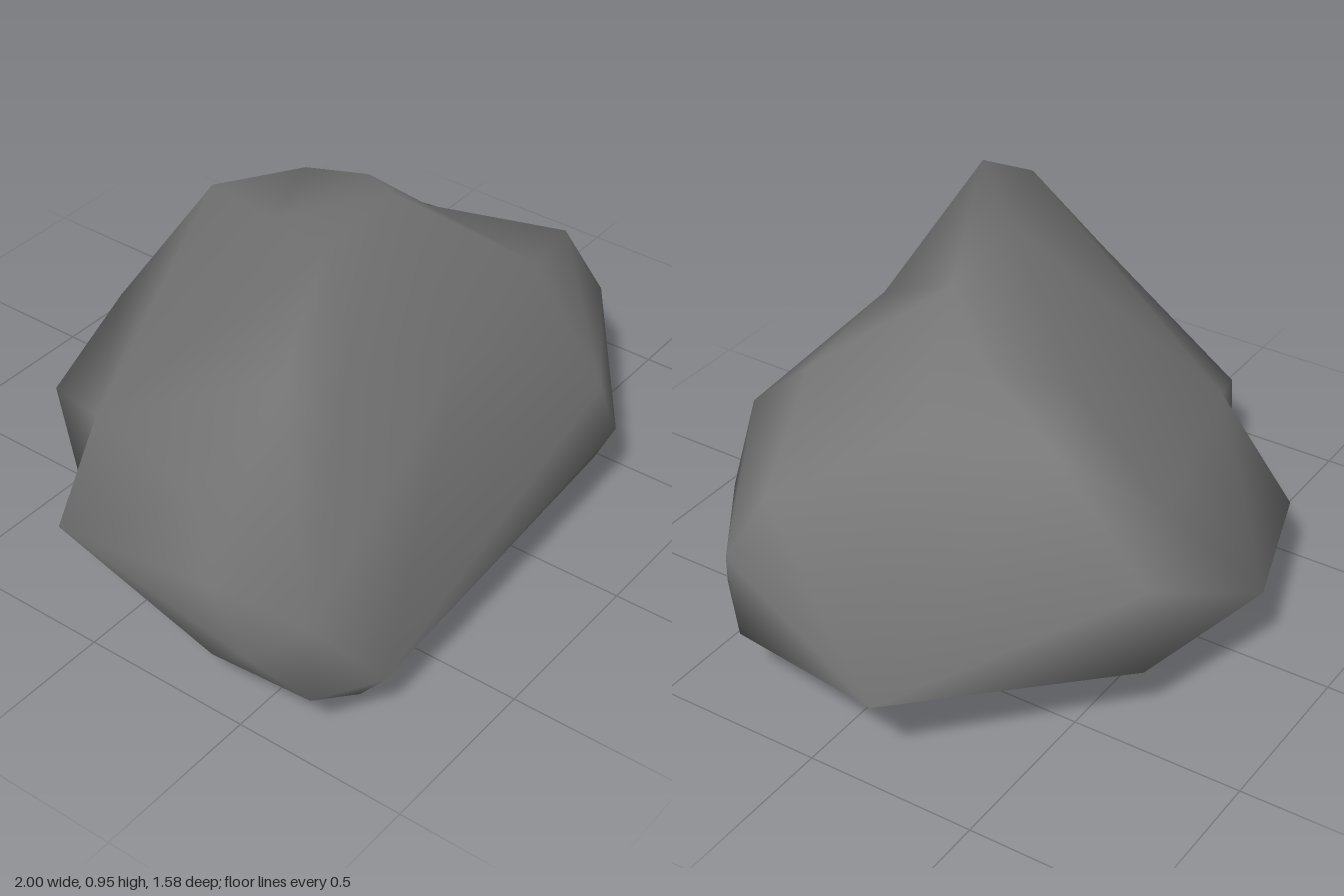
import * as THREE from 'three';
import { ConvexGeometry } from 'three/addons/geometries/ConvexGeometry.js';
import { mergeVertices } from 'three/addons/utils/BufferGeometryUtils.js';

// Corners of the boulder
const corners = [
  // crown and the ridge running down its back
  [-0.28, 0.955, 0.22], [0.08, 0.93, 0.17], [-0.62, 0.92, 0.54], [-0.71, 0.88, 0.42],
  [0.33, 0.8, 0], [0.243, 0.838, -0.03], [0.34, 0.705, -0.33], [0.255, 0.578, -0.62],
  // shoulders
  [0.33, 0.7, 0.48], [0.73, 0.545, 0.33], [0.25, 0.45, 0.758], [-0.91, 0.58, 0.3],
  // girth
  [1, 0.26, -0.2], [0.44, 0.465, -0.68], [0.42, 0.185, -0.66], [0.01, 0.24, -0.79],
  [-0.44, 0.22, -0.64], [-0.91, 0.24, -0.19], [-1, 0.41, 0.4], [-1, 0.24, 0.53],
  [-0.955, 0.39, 0.69], [-0.955, 0.16, 0.69], [-0.78, 0.155, 0.79], [0.37, 0.23, 0.75],
  [0.79, 0.27, 0.43], [0.79, 0.35, 0.43], [0.87, 0.185, 0.33],
  // underside
  [-0.21, 0, -0.58], [-0.86, 0.045, 0.58], [-0.76, 0.04, 0.7], [-0.95, 0.13, 0.37],
  [-0.88, 0.1, 0.18], [0.16, 0.035, 0.4], [0.16, 0.045, -0.56], [-0.3, 0.025, 0.07],
  [0.26, 0.197, 0.75],
];

// Hollows: a corner of the hull, then where it is pushed in to
const hollows = [
  { from: [0.55, 0.72, 0.12], to: [0.42, 0.68, 0.05] },
  { from: [-0.7, 0.16, -0.45], to: [-0.68, 0.15, -0.32] },
  { from: [-0.7, 0.36, -0.45], to: [-0.62, 0.38, -0.31] },
  { from: [0.05, 0.81, -0.22], to: [0.05, 0.71, -0.22] },
  { from: [-0.15, 0.75, 0.68], to: [-0.12, 0.7, 0.55] },
];

function boulderGeometry() {
  const points = [...corners, ...hollows.map((h) => h.from)].map((p) => new THREE.Vector3(...p));
  const hull = new ConvexGeometry(points);
  hull.deleteAttribute('normal');
  const geometry = mergeVertices(hull, 1e-4);
  const pos = geometry.attributes.position;
  const v = new THREE.Vector3();
  for (let i = 0; i < pos.count; i++) {
    v.fromBufferAttribute(pos, i);
    for (const h of hollows) {
      if (v.distanceTo(new THREE.Vector3(...h.from)) < 1e-3) pos.setXYZ(i, ...h.to);
    }
  }
  geometry.computeVertexNormals(); // smooth shading over the coarse facets
  return geometry;
}

export function createModel() {
  const stone = new THREE.MeshStandardMaterial({ color: 0x777777 });
  stone.name = 'grey stone';
  const boulder = new THREE.Mesh(boulderGeometry(), stone);
  boulder.name = 'boulder';
  const group = new THREE.Group();
  group.name = 'rock';
  group.add(boulder);
  return group;
}
